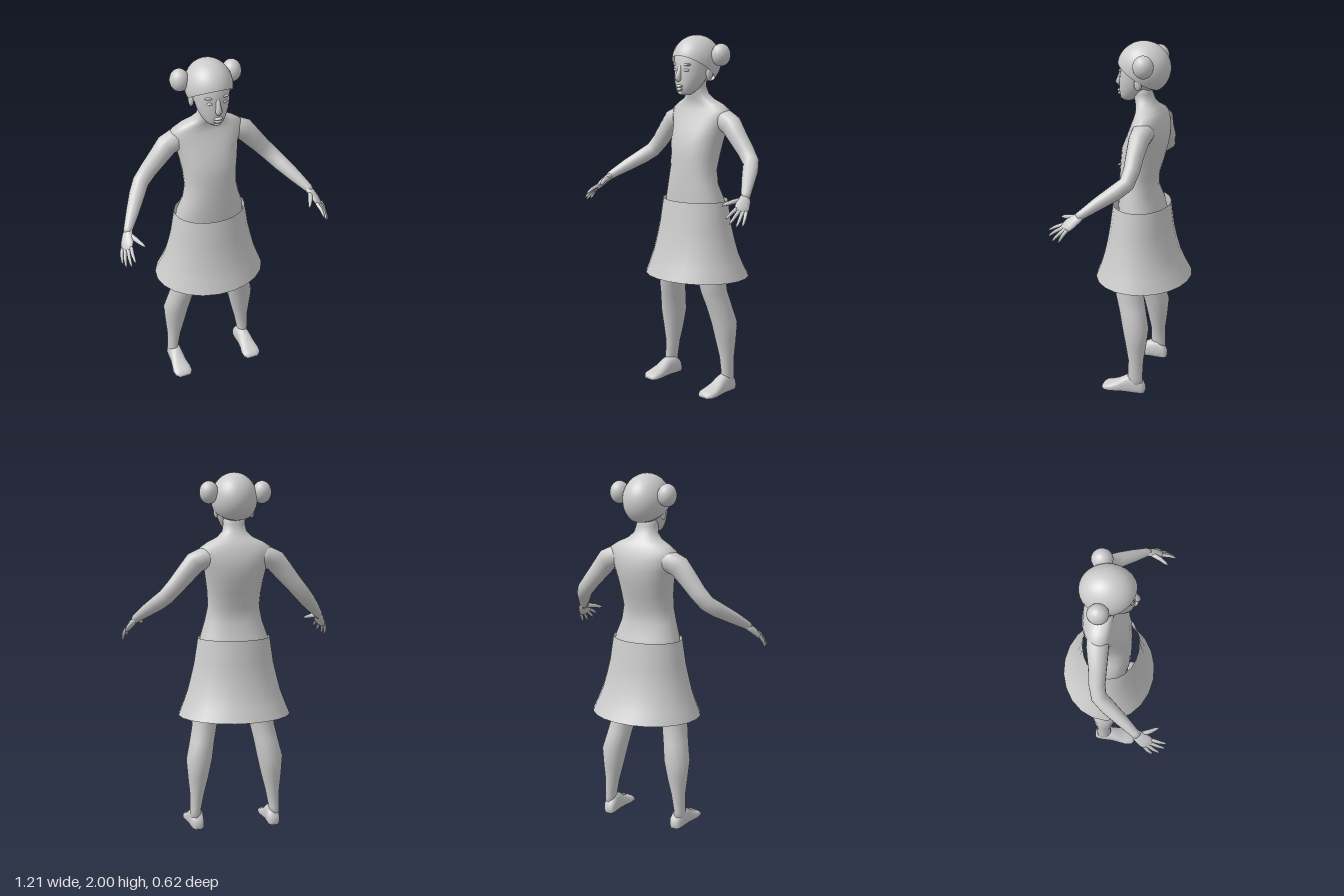
import * as THREE from 'three';

const V = (x, y, z) => new THREE.Vector3(x, y, z);
const clay = new THREE.MeshStandardMaterial({ color: 0xcccccc, side: THREE.DoubleSide });
clay.name = 'light grey';

// Skin a list of rings {c, u, v}: centre and two half-axis vectors
function loft(rings, n = 20, capped = true, power = 1) {
  const pos = [], idx = [];
  const shape = (t) => Math.sign(t) * Math.pow(Math.abs(t), power);
  for (const { c, u, v } of rings) {
    for (let i = 0; i < n; i++) {
      const a = (i / n) * Math.PI * 2;
      pos.push(...c.clone().addScaledVector(u, shape(Math.cos(a))).addScaledVector(v, shape(Math.sin(a))).toArray());
    }
  }
  for (let r = 0; r < rings.length - 1; r++) {
    for (let i = 0; i < n; i++) {
      const a = r * n + i, b = r * n + (i + 1) % n;
      idx.push(a, a + n, b, b, a + n, b + n);
    }
  }
  if (capped) {
    const first = pos.length / 3, last = (rings.length - 1) * n;
    pos.push(...rings[0].c.toArray(), ...rings[rings.length - 1].c.toArray());
    for (let i = 0; i < n; i++) {
      const j = (i + 1) % n;
      idx.push(first, i, j, first + 1, last + j, last + i);
    }
  }
  const g = new THREE.BufferGeometry();
  g.setAttribute('position', new THREE.Float32BufferAttribute(pos, 3));
  g.setIndex(idx);
  g.computeVertexNormals();
  return g;
}

// Horizontal ring: height, centre x, half width, front z, back z
const level = ([y, cx, rx, front, back]) => ({
  c: V(cx, y, (front + back) / 2), u: V(rx, 0, 0), v: V(0, 0, (front - back) / 2),
});

// Limb along points [x, y, z, radius across, radius along the wide direction]
function limb(points, wide = V(0, 0, 1), n = 14) {
  const ps = points.map((p) => V(p[0], p[1], p[2]));
  return loft(points.map((p, i) => {
    const t = ps[Math.min(i + 1, ps.length - 1)].clone().sub(ps[Math.max(i - 1, 0)]).normalize();
    const v = wide.clone().addScaledVector(t, -wide.dot(t)).normalize();
    const u = t.clone().cross(v);
    return { c: ps[i], u: u.multiplyScalar(p[3]), v: v.multiplyScalar(p[4] ?? p[3]) };
  }), n);
}

function ball(x, y, z, rx, ry, rz) {
  return new THREE.SphereGeometry(1, 20, 14).scale(rx, ry, rz).translate(x, y, z);
}

function mirrored(geometry) {
  const g = geometry.clone().scale(-1, 1, 1);
  const a = g.index.array;
  for (let i = 0; i < a.length; i += 3) [a[i], a[i + 1]] = [a[i + 1], a[i]];
  g.computeVertexNormals();
  return g;
}

export function createModel() {
  const model = new THREE.Group();
  model.name = 'woman in skirt';
  const add = (name, geometry) => {
    const m = new THREE.Mesh(geometry, clay);
    m.name = name;
    model.add(m);
  };
  const pair = (name, geometry) => {
    add(name + 'Left', geometry);
    add(name + 'Right', mirrored(geometry));
  };

  // Torso, shoulders and neck
  add('torso', loft([
    [0.84, 0, 0.12, 0.05, -0.12], [0.92, 0, 0.19, 0.08, -0.16], [1.02, 0, 0.2, 0.09, -0.165],
    [1.1, 0, 0.19, 0.092, -0.145], [1.18, 0, 0.163, 0.092, -0.115], [1.26, 0, 0.146, 0.09, -0.12],
    [1.34, 0, 0.15, 0.085, -0.145], [1.42, 0, 0.162, 0.075, -0.165], [1.49, 0, 0.175, 0.045, -0.178],
    [1.55, 0, 0.2, 0.02, -0.17], [1.595, 0, 0.2, 0.0, -0.155], [1.625, 0, 0.155, -0.005, -0.14],
    [1.65, 0, 0.1, 0.0, -0.12], [1.68, 0, 0.068, 0.01, -0.1], [1.72, 0, 0.06, 0.02, -0.085],
    [1.79, 0, 0.06, 0.02, -0.085],
  ].map(level), 28, true, 0.9));

  // Head and face
  add('face', loft([
    [1.676, 0, 0.03, 0.08, 0.02], [1.69, 0, 0.048, 0.093, 0.0], [1.715, 0, 0.066, 0.098, -0.04],
    [1.75, 0, 0.083, 0.1, -0.07], [1.79, 0, 0.093, 0.098, -0.09], [1.83, 0, 0.098, 0.096, -0.1],
    [1.88, 0, 0.1, 0.094, -0.11], [1.93, 0, 0.085, 0.07, -0.1],
  ].map(level), 24));
  add('skull', ball(0, 1.86, -0.045, 0.112, 0.128, 0.13));
  add('nose', limb([[0, 1.835, 0.088, 0.01], [0, 1.79, 0.102, 0.014], [0, 1.77, 0.108, 0.019, 0.017], [0, 1.755, 0.098, 0.012]]));
  add('upperLip', ball(0, 1.725, 0.096, 0.025, 0.009, 0.017));
  add('lowerLip', ball(0, 1.708, 0.093, 0.022, 0.009, 0.017));
  add('chin', ball(0, 1.689, 0.08, 0.022, 0.013, 0.017));
  pair('eye', ball(0.038, 1.812, 0.08, 0.019, 0.009, 0.013));
  pair('brow', ball(0.04, 1.842, 0.077, 0.027, 0.008, 0.015));
  pair('ear', ball(0.1, 1.79, -0.035, 0.014, 0.038, 0.022));

  // Hair cap cut along a slope from forehead to nape, with two buns
  add('hair', new THREE.SphereGeometry(1, 32, 20, 0, Math.PI * 2, 0, 1.913)
    .rotateX(-0.576).scale(0.127, 0.143, 0.147).translate(0, 1.857, -0.038));
  pair('hairBun', ball(0.147, 1.893, -0.078, 0.052, 0.062, 0.056));

  // Open flared skirt
  add('skirt', loft([
    [0.655, 0, 0.318, 0.228, -0.312], [0.72, 0, 0.292, 0.203, -0.276], [0.79, 0, 0.266, 0.181, -0.245],
    [0.87, 0, 0.245, 0.163, -0.222], [0.95, 0, 0.226, 0.149, -0.205], [1.09, 0, 0.205, 0.13, -0.187],
  ].map(level), 22, false));

  // Legs
  pair('leg', loft([
    [0.04, 0.226, 0.034, -0.02, -0.105], [0.1, 0.229, 0.031, -0.018, -0.104], [0.2, 0.219, 0.041, -0.018, -0.106],
    [0.3, 0.211, 0.059, 0.0, -0.12], [0.4, 0.204, 0.074, 0.02, -0.13], [0.5, 0.184, 0.071, 0.045, -0.108],
    [0.58, 0.167, 0.071, 0.07, -0.09], [0.68, 0.15, 0.078, 0.086, -0.085], [0.78, 0.122, 0.088, 0.088, -0.105],
    [0.88, 0.1, 0.095, 0.08, -0.135], [0.95, 0.095, 0.085, 0.06, -0.13],
  ].map(level), 18));

  // Feet: flat-soled sections from heel to toe [z, centre x, half width, height]
  const foot = loft([
    [-0.116, 0.22, 0.022, 0.045], [-0.1, 0.22, 0.036, 0.075], [-0.06, 0.222, 0.04, 0.11],
    [-0.01, 0.224, 0.041, 0.1], [0.04, 0.225, 0.048, 0.066], [0.08, 0.225, 0.056, 0.047],
    [0.115, 0.224, 0.053, 0.037], [0.134, 0.222, 0.036, 0.022],
  ].map(([z, x, r, h]) => ({ c: V(x, h * 0.4, z), u: V(0, h * 0.6, 0), v: V(-r, 0, 0) })), 18, true, 0.85);
  const fp = foot.attributes.position;
  for (let i = 0; i < fp.count; i++) fp.setY(i, Math.max(0, fp.getY(i)));
  foot.computeVertexNormals();
  pair('foot', foot.scale(1, 1, 1));

  // Arms
  pair('arm', limb([
    [0.1, 1.54, -0.085, 0.05, 0.055], [0.17, 1.54, -0.083, 0.062, 0.06], [0.225, 1.515, -0.08, 0.062, 0.055],
    [0.28, 1.45, -0.077, 0.055, 0.048], [0.335, 1.385, -0.077, 0.049, 0.044], [0.385, 1.328, -0.065, 0.046, 0.042],
    [0.425, 1.288, -0.015, 0.044, 0.042], [0.48, 1.235, 0.065, 0.036, 0.034], [0.53, 1.185, 0.135, 0.025, 0.024],
    [0.537, 1.173, 0.15, 0.022, 0.024],
  ], V(0, 0.15, 1), 18));

  // Hands: palm, four fingers and a thumb
  const across = V(-0.62, 0.35, 0.62);
  pair('palm', limb([
    [0.525, 1.19, 0.128, 0.02, 0.022], [0.543, 1.162, 0.16, 0.019, 0.033],
    [0.556, 1.138, 0.19, 0.017, 0.039], [0.566, 1.113, 0.217, 0.012, 0.035],
  ], across));
  const fingers = [
    [[0.585, 1.115, 0.193], [0.6, 1.045, 0.237]],
    [[0.573, 1.115, 0.207], [0.592, 1.046, 0.275]],
    [[0.561, 1.12, 0.22], [0.57, 1.063, 0.303]],
    [[0.545, 1.13, 0.225], [0.55, 1.088, 0.309]],
  ];
  const digit = (a, b, r) => limb([0, 0.5, 0.85, 1].map((t, i) => [
    ...V(...a).lerp(V(...b), t).add(V(0.004, 0.004, 0).multiplyScalar(Math.sin(Math.PI * t))).toArray(),
    r * [1, 0.9, 0.65, 0.25][i]]), across, 10);
  fingers.forEach(([a, b], i) => pair('finger' + (i + 1), digit(a, b, 0.0105)));
  pair('thumb', digit([0.53, 1.168, 0.165], [0.48, 1.143, 0.262], 0.014));

  return model;
}
